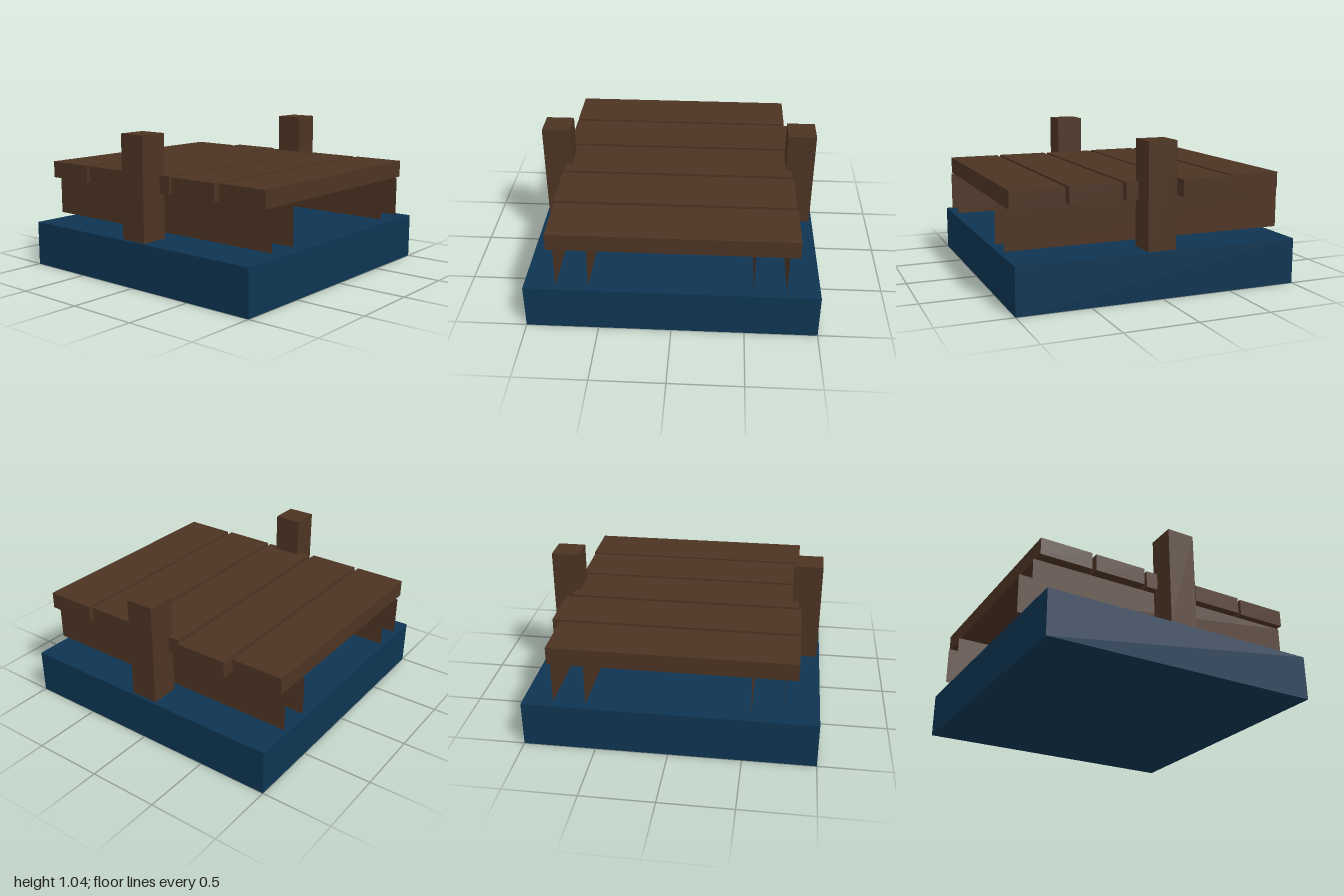
import * as THREE from 'three';

export function createModel() {
  const model = new THREE.Group();
  model.name = 'dock';

  const wood = new THREE.MeshStandardMaterial({ color: 0x4d3423 });
  wood.name = 'brown wood';
  const woodSheet = new THREE.MeshStandardMaterial({ color: 0x4d3423, side: THREE.DoubleSide });
  woodSheet.name = 'brown wood sheet';
  const water = new THREE.MeshStandardMaterial({ color: 0x0e3552 });
  water.name = 'deep blue water';

  // Box given by its lower and upper limits
  function box(name, material, [x0, x1], [y0, y1], [z0, z1]) {
    const mesh = new THREE.Mesh(new THREE.BoxGeometry(x1 - x0, y1 - y0, z1 - z0), material);
    mesh.position.set((x0 + x1) / 2, (y0 + y1) / 2, (z0 + z1) / 2);
    mesh.name = name;
    model.add(mesh);
  }

  // Water block
  box('water', water, [-1, 1], [0, 0.32], [-1, 1]);

  // Deck planks with uneven ends
  const plankEnds = [[-0.8, 0.845], [-0.86, 0.845], [-0.82, 0.825], [-0.83, 0.83], [-0.84, 0.82]];
  plankEnds.forEach((ends, i) => {
    const x = (i - 2) * 0.4;
    box(`plank${i + 1}`, wood, [x - 0.185, x + 0.185], [0.64, 0.76], ends);
  });

  // Mooring posts at the front and back
  box('frontPost', wood, [-0.1, 0.1], [0.32, 1.04], [0.78, 0.98]);
  box('backPost', wood, [-0.1, 0.1], [0.32, 1.04], [-0.98, -0.78]);

  // Support beams: paired open sheets running under the planks
  for (const z of [0.77, 0.55, -0.55, -0.77]) {
    const beam = new THREE.Mesh(new THREE.PlaneGeometry(2, 0.28), woodSheet);
    beam.position.set(0, 0.5, z);
    if (z === 0.55 || z === -0.77) beam.rotation.y = Math.PI;
    beam.name = z > 0 ? 'frontBeamSide' : 'backBeamSide';
    model.add(beam);
  }

  return model;
}
